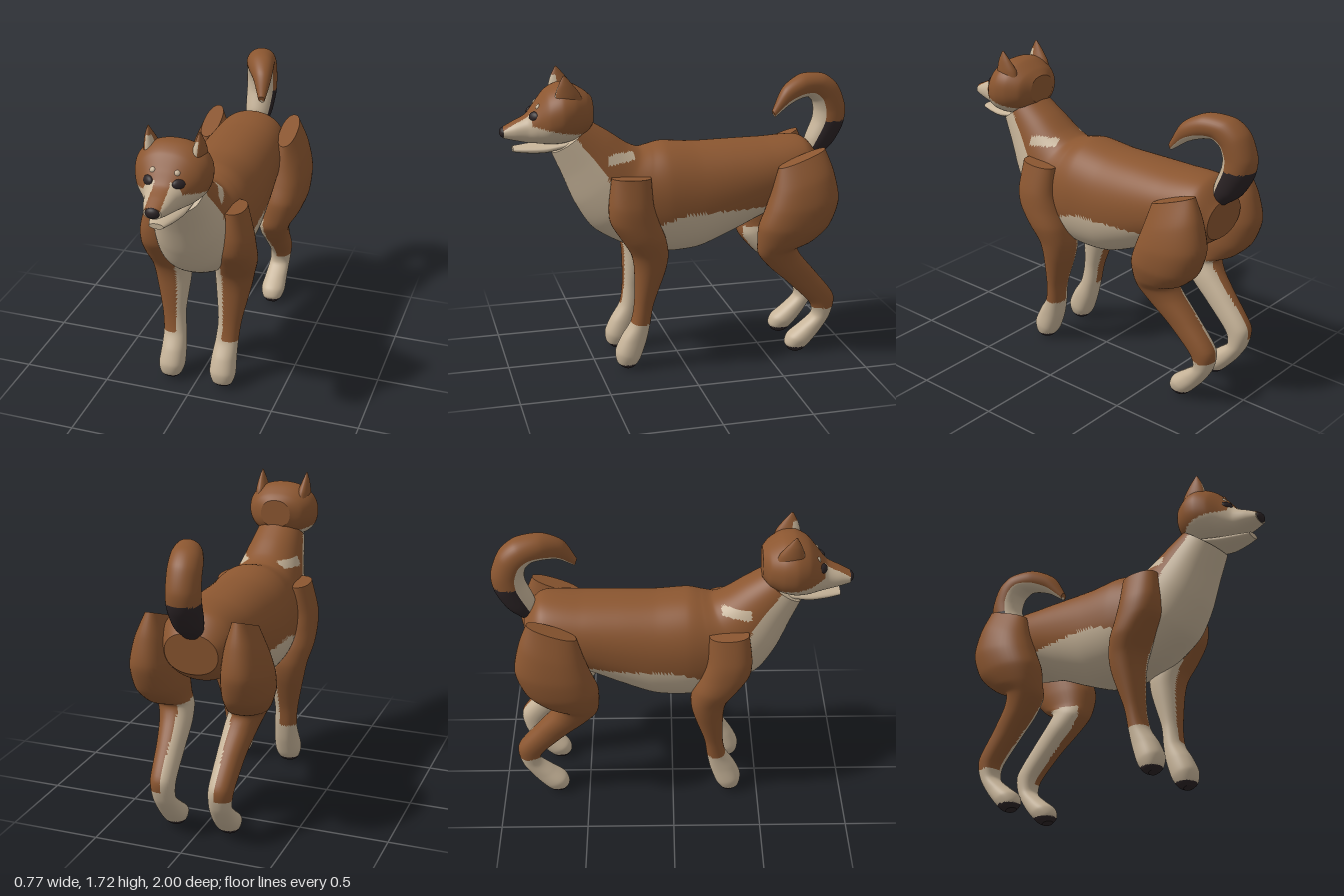
import * as THREE from 'three';

const mat = (name, color) => {
  const m = new THREE.MeshStandardMaterial({ color });
  m.name = name;
  return m;
};

// Smooth skin through cross-sections [aZ, aY, bZ, bY, xMin, xMax], where a and b
// are opposite ends of each ring. paint(x, y, z, v, n) picks a material index;
// v runs from +1 at end a to -1 at end b.
function loft(name, sections, materials, paint, { side = 1, rings = 56, segs = 40, power = 1 } = {}) {
  const curve = (f) => new THREE.CatmullRomCurve3(sections.map(f), false, 'catmullrom', 0.4);
  const a = curve((s) => new THREE.Vector3(s[4], s[1], s[0]));
  const b = curve((s) => new THREE.Vector3(s[5], s[3], s[2]));
  const pos = [], vs = [], tris = [];
  const shape = (c) => Math.sign(c) * Math.abs(c) ** power;
  for (let i = 0; i <= rings; i++) {
    const p = a.getPoint(i / rings), q = b.getPoint(i / rings);
    for (let j = 0; j < segs; j++) {
      const t = (j / segs) * Math.PI * 2;
      const u = shape(Math.cos(t)), v = shape(Math.sin(t));
      pos.push(side * ((p.x + q.x) / 2 + (u * (q.x - p.x)) / 2),
        (p.y + q.y) / 2 + (v * (p.y - q.y)) / 2, (p.z + q.z) / 2 + (v * (p.z - q.z)) / 2);
      vs.push(v);
    }
  }
  for (let i = 0; i < rings; i++) {
    for (let j = 0; j < segs; j++) {
      const k = (j + 1) % segs, r = i * segs, n = r + segs;
      tris.push([r + j, r + k, n + j], [r + k, n + k, n + j]);
    }
  }
  // Flat end caps with their own corners
  for (const i of [0, rings]) {
    const start = pos.length / 3;
    const mid = [0, 0, 0];
    for (let j = 0; j < segs; j++) {
      const o = (i * segs + j) * 3;
      for (let d = 0; d < 3; d++) { pos.push(pos[o + d]); mid[d] += pos[o + d] / segs; }
      vs.push(vs[i * segs + j]);
    }
    pos.push(...mid);
    vs.push(0);
    for (let j = 0; j < segs; j++) {
      const k = (j + 1) % segs;
      tris.push(i === 0 ? [start + k, start + j, start + segs] : [start + j, start + k, start + segs]);
    }
  }
  // Turn every face outward
  const at = (i) => new THREE.Vector3().fromArray(pos, i * 3);
  let volume = 0;
  for (const [i, j, k] of tris) volume += at(i).dot(at(j).cross(at(k)));
  if (volume < 0) tris.forEach((t) => t.reverse());
  // Sort the faces by colour
  const buckets = materials.map(() => []);
  for (const t of tris) {
    const c = at(t[0]).add(at(t[1])).add(at(t[2])).divideScalar(3);
    const v = (vs[t[0]] + vs[t[1]] + vs[t[2]]) / 3;
    buckets[paint(c.x * side, c.y, c.z, v)].push(...t);
  }
  const geo = new THREE.BufferGeometry();
  geo.setAttribute('position', new THREE.Float32BufferAttribute(pos, 3));
  geo.setIndex(buckets.flat());
  let offset = 0;
  buckets.forEach((f, i) => { geo.addGroup(offset, f.length, i); offset += f.length; });
  geo.computeVertexNormals();
  const mesh = new THREE.Mesh(geo, materials);
  mesh.name = name;
  return mesh;
}

export function createModel() {
  const group = new THREE.Group();
  const brown = mat('brown fur', 0x8b5630);
  const cream = mat('cream fur', 0xc6b398);
  const dark = mat('dark fur', 0x2b2325);
  const coat = [brown, cream, dark];
  const BROWN = 0, CREAM = 1, DARK = 2;

  const blob = (name, material, [x, y, z], [sx, sy, sz], yaw = 0, pitch = 0) => {
    const m = new THREE.Mesh(new THREE.SphereGeometry(1, 20, 14), material);
    m.position.set(x, y, z);
    m.scale.set(sx, sy, sz);
    m.rotation.set(pitch, yaw, 0, 'YXZ');
    m.name = name;
    group.add(m);
  };
  // Sections symmetric about x = 0, given with a half width
  const even = (list) => list.map(([az, ay, bz, by, w]) => [az, ay, bz, by, -w, w]);
  const upright = (list) => even(list.map(([z, top, bottom, w]) => [z, top, z, bottom, w]));

  // Neck, chest and trunk
  group.add(loft('body', even([
    [0.50, 1.44, 0.72, 1.28, 0.14], [0.39, 1.37, 0.66, 1.14, 0.165],
    [0.29, 1.30, 0.59, 0.97, 0.195], [0.22, 1.27, 0.49, 0.82, 0.215],
    [0.16, 1.28, 0.30, 0.71, 0.24], [0.08, 1.295, 0.10, 0.66, 0.26],
    [-0.10, 1.28, -0.10, 0.67, 0.26], [-0.30, 1.28, -0.30, 0.75, 0.25],
    [-0.50, 1.28, -0.50, 0.84, 0.235], [-0.73, 1.28, -0.70, 0.88, 0.21],
    [-0.83, 1.18, -0.81, 0.95, 0.15],
  ]), coat, (x, y, z) => {
    const patch = Math.abs(x) > 0.09 && z > 0.27 && z < 0.43 && y > 1.22 + (0.43 - z) * 0.1 && y < 1.275;
    const chest = z > 0.3 && y < 1.13 + (z - 0.42) * 1.4;
    const belly = z > -0.7 && y < 0.93 - Math.max(0, z) * 0.35;
    return patch || chest || belly ? CREAM : BROWN;
  }, { rings: 110, segs: 80, power: 0.92 }));

  // Skull and muzzle
  group.add(loft('head', upright([
    [0.49, 1.58, 1.42, 0.09], [0.53, 1.615, 1.38, 0.155], [0.60, 1.655, 1.345, 0.197],
    [0.67, 1.66, 1.33, 0.207], [0.74, 1.625, 1.33, 0.182], [0.80, 1.555, 1.335, 0.132],
    [0.85, 1.495, 1.34, 0.095], [0.92, 1.46, 1.355, 0.072], [0.98, 1.43, 1.37, 0.048],
  ]), coat, (x, y, z) => {
    const cheek = y < 1.385 + (z - 0.5) * 0.2;
    const muzzle = z > 0.83 && (Math.abs(x) > 0.042 || y < 1.41);
    return cheek && z < 0.83 || muzzle ? CREAM : BROWN;
  }, { rings: 80, segs: 72, power: 0.9 }));

  // Lower jaw
  group.add(loft('lowerJaw', upright([
    [0.62, 1.36, 1.31, 0.11], [0.75, 1.338, 1.28, 0.092],
    [0.85, 1.328, 1.28, 0.066], [0.93, 1.32, 1.29, 0.04],
  ]), coat, () => CREAM, { rings: 20, segs: 24 }));

  blob('nose', dark, [0, 1.402, 0.975], [0.04, 0.03, 0.025]);

  for (const side of [1, -1]) {
    const label = side > 0 ? 'left' : 'right';

    blob(label + 'Eye', dark, [side * 0.083, 1.5, 0.816], [0.036, 0.026, 0.016], side * 0.65, -0.45);
    blob(label + 'BrowSpot', cream, [side * 0.066, 1.547, 0.79], [0.017, 0.017, 0.012], side * 0.4, -0.6);

    // Ear with a pale inner front
    group.add(loft(label + 'Ear', [
      [0.71, 1.56, 0.55, 1.56, 0.09, 0.168], [0.705, 1.62, 0.57, 1.62, 0.097, 0.165],
      [0.69, 1.67, 0.61, 1.675, 0.115, 0.157], [0.663, 1.725, 0.653, 1.727, 0.135, 0.142],
    ], coat, (x, y, z, v) => (v > 0.2 && x < 0.14 && y < 1.68 ? CREAM : BROWN),
    { side, rings: 20, segs: 24 }));

    // Foreleg from shoulder to paw
    group.add(loft(label + 'ForeLeg', [
      [0.42, 1.16, 0.20, 1.15, 0.15, 0.28], [0.44, 1.00, 0.19, 1.00, 0.13, 0.32],
      [0.43, 0.90, 0.16, 0.90, 0.11, 0.328], [0.37, 0.80, 0.12, 0.80, 0.09, 0.325],
      [0.31, 0.70, 0.10, 0.70, 0.075, 0.30], [0.29, 0.60, 0.115, 0.60, 0.08, 0.28],
      [0.29, 0.40, 0.18, 0.40, 0.10, 0.238], [0.31, 0.28, 0.20, 0.27, 0.092, 0.225],
      [0.365, 0.19, 0.22, 0.17, 0.082, 0.225], [0.40, 0.11, 0.255, 0.07, 0.08, 0.23],
      [0.395, 0.05, 0.29, 0.02, 0.10, 0.215], [0.37, 0.02, 0.32, 0.005, 0.125, 0.19],
    ], coat, (x, y) => {
      if (y < 0.04) return DARK;
      return y < 0.28 || (x < 0.14 && y < 0.85) ? CREAM : BROWN;
    }, { side, rings: 90, power: 0.9 }));

    // Hind leg from haunch to paw
    group.add(loft(label + 'HindLeg', [
      [-0.53, 1.16, -0.80, 1.26, 0.19, 0.295], [-0.49, 1.02, -0.85, 1.13, 0.15, 0.355],
      [-0.455, 0.92, -0.88, 0.97, 0.13, 0.385], [-0.42, 0.82, -0.83, 0.82, 0.12, 0.38],
      [-0.42, 0.72, -0.74, 0.73, 0.12, 0.345], [-0.435, 0.64, -0.66, 0.69, 0.11, 0.305],
      [-0.51, 0.55, -0.69, 0.62, 0.10, 0.275], [-0.62, 0.45, -0.79, 0.50, 0.10, 0.25],
      [-0.76, 0.31, -0.905, 0.35, 0.10, 0.235], [-0.78, 0.23, -0.89, 0.23, 0.10, 0.225],
      [-0.71, 0.165, -0.83, 0.13, 0.09, 0.225], [-0.64, 0.11, -0.77, 0.06, 0.083, 0.23],
      [-0.62, 0.06, -0.73, 0.02, 0.10, 0.215], [-0.64, 0.02, -0.70, 0.005, 0.125, 0.19],
    ], coat, (x, y) => {
      if (y < 0.045) return DARK;
      return y < 0.28 || (x < 0.155 && y < 0.7) ? CREAM : BROWN;
    }, { side, rings: 90, power: 0.9 }));
  }

  // Curled tail leaning to the left, pale inside with a dark base
  group.add(loft('tail', [
    [-0.76, 1.20, -0.83, 1.15, -0.06, 0.06], [-0.77, 1.27, -0.92, 1.22, -0.08, 0.08],
    [-0.81, 1.37, -0.985, 1.33, -0.09, 0.09], [-0.815, 1.43, -1.0, 1.44, -0.09, 0.09],
    [-0.80, 1.48, -0.95, 1.57, -0.085, 0.095], [-0.76, 1.51, -0.86, 1.64, -0.07, 0.105],
    [-0.70, 1.505, -0.72, 1.65, -0.03, 0.125], [-0.63, 1.48, -0.60, 1.585, 0.03, 0.135],
    [-0.545, 1.42, -0.53, 1.46, 0.085, 0.125],
  ], coat, (x, y, z, v) => {
    if (v > 0.45) return CREAM;
    return y < 1.37 && z < -0.7 ? DARK : BROWN;
  }, { rings: 70, power: 0.95 }));

  return group;
}
